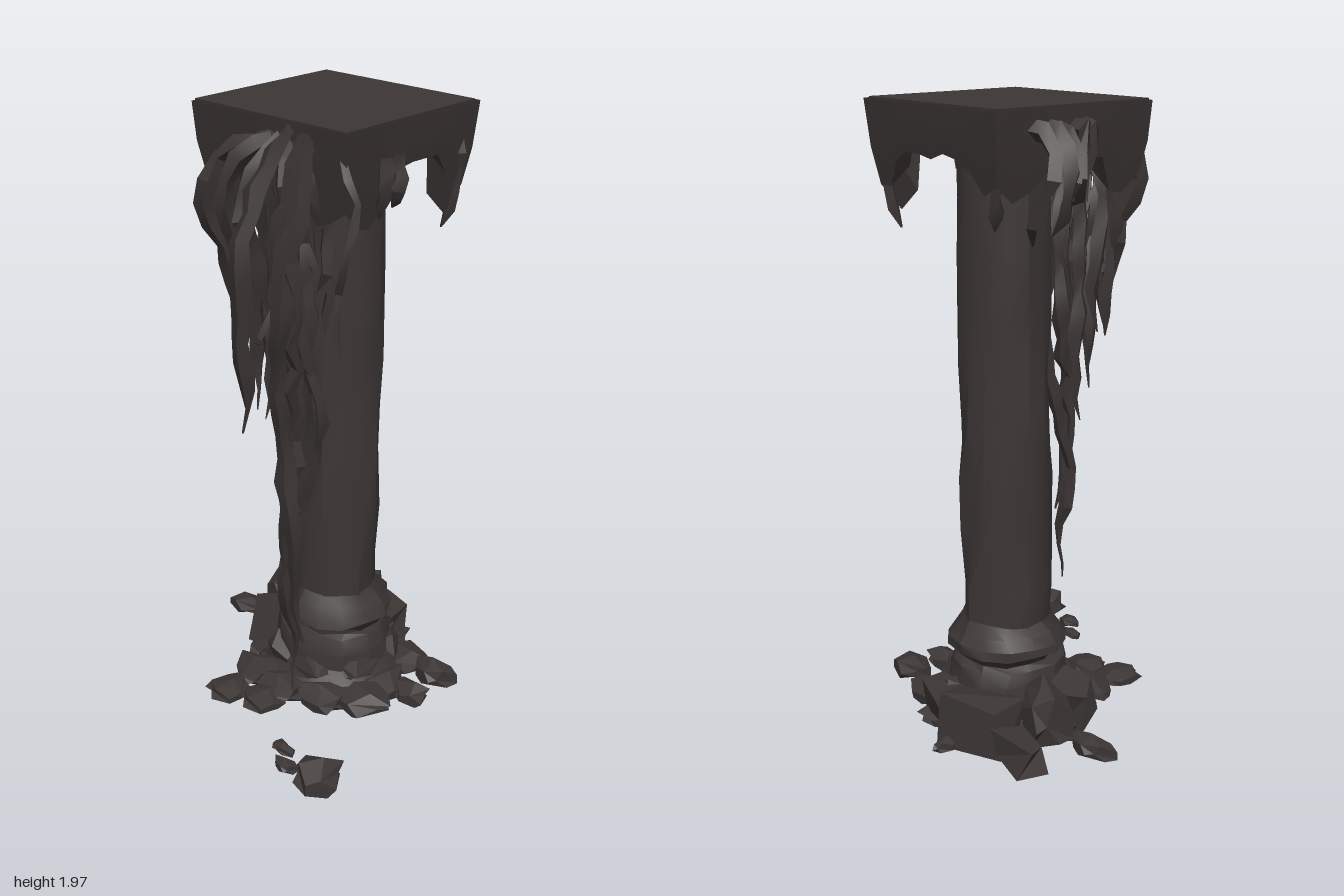
import * as THREE from 'three';
import { toCreasedNormals } from 'three/addons/utils/BufferGeometryUtils.js';

const stone = new THREE.MeshStandardMaterial({ color: 0x3c3635, side: THREE.DoubleSide });
stone.name = 'dark weathered stone';
const moss = new THREE.MeshStandardMaterial({ color: 0x393332, side: THREE.DoubleSide });
moss.name = 'dark hanging moss';

const CZ = -0.125; // column axis
const V = (x, y, z) => new THREE.Vector3(x, y, z);

// small seeded generator, returns -1..1
let seed = 7;
function rnd() {
  seed = (seed * 16807) % 2147483647;
  return (seed / 2147483647) * 2 - 1;
}

// displacement that depends only on position, so shared corners stay joined
function wobble(geo, amount) {
  const p = geo.attributes.position;
  const h = (x, y, z, k) => Math.sin(Math.round(x * 500) * 1.3 + Math.round(y * 500) * 2.1 + Math.round(z * 500) * 3.7 + k);
  for (let i = 0; i < p.count; i++) {
    const x = p.getX(i), y = p.getY(i), z = p.getZ(i);
    p.setXYZ(i, x + amount * h(x, y, z, 0), y + amount * h(x, y, z, 2), z + amount * h(x, y, z, 4));
  }
  return geo;
}

function add(parent, name, geo, mat, crease = 0.5) {
  const mesh = new THREE.Mesh(toCreasedNormals(geo, crease), mat);
  mesh.name = name;
  parent.add(mesh);
  return mesh;
}

// tapering, ragged strand along a path
function strand(parent, pts, width, ragged = 0.006) {
  const curve = new THREE.CatmullRomCurve3(pts);
  const n = Math.max(5, Math.round(curve.getLength() / 0.07));
  const geo = new THREE.TubeGeometry(curve, n, width, 4);
  const p = geo.attributes.position, uv = geo.attributes.uv, v = V(0, 0, 0);
  const rings = Array.from({ length: n + 1 }, () => ({ s: 0.9 + 0.35 * rnd(), d: V(rnd(), 0, rnd()).multiplyScalar(ragged) }));
  for (let i = 0; i < p.count; i++) {
    const t = uv.getX(i), c = curve.getPointAt(t), ring = rings[Math.round(t * n)];
    const s = ring.s * Math.min(1, (1 - t) * 4 + 0.1);
    v.fromBufferAttribute(p, i).sub(c).multiplyScalar(s).add(c).add(ring.d);
    p.setXYZ(i, v.x, v.y, v.z);
  }
  add(parent, 'strand', geo, moss);
}

function rock(parent, x, y, z, sx, sy, sz, turn = 0, tilt = 0) {
  const geo = wobble(new THREE.DodecahedronGeometry(1, 0), 0.2);
  geo.rotateY(rnd() * 3);
  geo.scale(sx, sy, sz);
  const m = add(parent, 'rock', geo, stone, 0.2);
  m.position.set(x, Math.max(y, 0.035 + sy * 0.95), z);
  m.rotation.set(tilt, turn, 0, 'YXZ');
}

// upright broken block
function block(parent, x, y, z, sx, sy, sz, turn, tilt) {
  const m = add(parent, 'brokenBlock', wobble(new THREE.BoxGeometry(sx, sy, sz), 0.015), stone, 0.2);
  m.position.set(x, y, z);
  m.rotation.set(tilt, turn, 0, 'YXZ');
}

export function createModel() {
  const model = new THREE.Group();
  const group = (name) => {
    const g = new THREE.Group();
    g.name = name;
    model.add(g);
    return g;
  };

  // shaft with worn, uneven sides
  const shaftGeo = new THREE.CylinderGeometry(0.135, 0.145, 1.56, 14, 9);
  shaftGeo.translate(0, 1.1, 0);
  add(model, 'shaft', wobble(shaftGeo, 0.007), stone, 0.6).position.z = CZ;

  // moulded foot
  const foot = [[0, 0.04], [0.25, 0.04], [0.24, 0.08], [0.2, 0.12], [0.195, 0.19], [0.18, 0.235], [0.16, 0.25],
    [0.17, 0.265], [0.19, 0.285], [0.185, 0.31], [0.163, 0.345], [0.145, 0.38]].map(([r, y]) => new THREE.Vector2(r, y));
  add(model, 'foot', wobble(new THREE.LatheGeometry(foot, 14), 0.007), stone).position.z = CZ;

  // capital: square slab with a slightly narrower underside
  const slabGeo = new THREE.BoxGeometry(0.59, 0.13, 0.56);
  const sp = slabGeo.attributes.position;
  for (let i = 0; i < sp.count; i++) {
    if (sp.getY(i) < 0) sp.setXYZ(i, sp.getX(i) * 0.95, sp.getY(i), sp.getZ(i) * 0.95);
  }
  add(model, 'capitalSlab', wobble(slabGeo, 0.004), stone).position.set(0, 1.93, -0.115);
  const neck = add(model, 'capitalNeck', wobble(new THREE.CylinderGeometry(0.15, 0.135, 0.09, 12), 0.005), stone);
  neck.position.set(0, 1.84, CZ);

  // ragged skirt hanging from the slab: lower edge heights, corner to corner
  const skirt = group('mossSkirt');
  const sides = [
    { a: V(-0.3, 0, 0.175), b: V(0.3, 0, 0.175), low: [1.79, 1.74, 1.72, 1.74, 1.8, 1.84, 1.82, 1.78, 1.7, 1.72, 1.76] },
    { a: V(0.3, 0, 0.175), b: V(0.3, 0, -0.4), low: [1.76, 1.7, 1.69, 1.74, 1.85, 1.86, 1.86, 1.86, 1.8, 1.66, 1.74] },
    { a: V(0.3, 0, -0.4), b: V(-0.3, 0, -0.4), low: [1.74, 1.74, 1.82, 1.85, 1.85, 1.84, 1.86, 1.85, 1.82, 1.76, 1.79] },
    { a: V(-0.3, 0, -0.4), b: V(-0.3, 0, 0.175), low: [1.79, 1.74, 1.76, 1.8, 1.85, 1.86, 1.85, 1.84, 1.74, 1.73, 1.79] },
  ];
  for (const { a, b, low } of sides) {
    const pos = [], idx = [];
    low.forEach((y, i) => {
      const p = a.clone().lerp(b, i / (low.length - 1));
      const mid = (1.96 + y) / 2;
      // outer face at three heights, then a lip turning in under the skirt
      for (const [h, inset] of [[1.99, 1], [mid, 1], [y, 1], [y + 0.06, 0.8]]) {
        const k = (1.01 - Math.max(0, 1.92 - h) * 0.6) * inset;
        pos.push(p.x * k, h, CZ + (p.z - CZ) * k);
      }
      if (i) for (let r = 0; r < 3; r++) {
        const q = (i - 1) * 4 + r;
        idx.push(q, q + 1, q + 4, q + 1, q + 5, q + 4);
      }
    });
    const geo = new THREE.BufferGeometry();
    geo.setAttribute('position', new THREE.Float32BufferAttribute(pos, 3));
    geo.setIndex(idx);
    add(skirt, 'skirtSide', geo, moss);
  }

  // long vines arching off the front left corner
  const vines = group('longVines');
  const paths = [
    [V(0.12, 1.96, 0.15), V(0.24, 1.92, 0.28), V(0.3, 1.78, 0.38), V(0.31, 1.55, 0.44), V(0.28, 1.25, 0.41),
      V(0.3, 1.05, 0.41), V(0.34, 0.87, 0.42), V(0.3, 0.66, 0.39), V(0.33, 0.5, 0.37)],
    [V(0.1, 1.95, 0.15), V(0.2, 1.9, 0.26), V(0.23, 1.7, 0.35), V(0.25, 1.45, 0.31), V(0.28, 1.2, 0.27),
      V(0.25, 0.92, 0.3), V(0.23, 0.68, 0.36), V(0.24, 0.48, 0.31), V(0.24, 0.27, 0.35)],
    [V(0.08, 1.97, 0.15), V(0.13, 1.94, 0.28), V(0.17, 1.84, 0.39), V(0.2, 1.72, 0.47), V(0.21, 1.5, 0.48), V(0.18, 1.18, 0.46)],
    [V(0.14, 1.93, 0.17), V(0.22, 1.85, 0.3), V(0.27, 1.55, 0.36), V(0.25, 1.3, 0.34), V(0.27, 1.0, 0.38), V(0.25, 0.66, 0.38)],
    [V(0.1, 1.9, 0.17), V(0.19, 1.75, 0.28), V(0.18, 1.55, 0.31), V(0.2, 1.45, 0.42), V(0.27, 1.48, 0.48)],
    [V(0.26, 1.92, 0.16), V(0.33, 1.8, 0.18), V(0.32, 1.65, 0.2), V(0.28, 1.5, 0.19), V(0.3, 1.35, 0.19)],
  ];
  paths.forEach((p, i) => {
    strand(vines, p, i < 4 ? 0.029 : 0.02, 0.012);
    if (i < 2) strand(vines, p.slice(0, 6).map((q) => V(q.x + 0.025 * rnd(), q.y, q.z + 0.03 * rnd())), 0.02, 0.012);
  });

  // curtain in front of the shaft, gathered at the top
  const curtain = group('frontCurtain');
  const ends = [1.3, 1.5, 1.4, 1.0, 1.24, 1.08, 1.45, 1.12, 1.25, 1.35, 1.2, 1.45, 1.35, 1.5];
  ends.forEach((y, i) => {
    const x = -0.18 + i * 0.027, z = [0.08, 0.12, 0.17][i % 3];
    const m = (1.85 + y) / 2;
    strand(curtain, [V(0.04 + x * 0.4, 1.94, 0.16), V(0.02 + x * 0.75, 1.85, z + 0.05), V(x, m, z + 0.02 * rnd()),
      V(x + 0.02 * rnd(), (m + y) / 2, z - 0.01), V(x + 0.02 * rnd(), y, z + 0.01)], 0.025, 0.01);
  });
  for (const [x, y] of [[-0.11, 1.35], [-0.04, 1.5], [0.03, 1.4]]) {
    strand(curtain, [V(0.04, 1.94, 0.16), V(x, 1.88, 0.25), V(x - 0.02, 1.74, 0.29), V(x, 1.58, 0.23), V(x, y, 0.2)], 0.028, 0.01);
  }

  // tufts on the remaining sides
  const tufts = group('sideTufts');
  for (let i = 0; i < 5; i++) {
    const z = -0.27 + i * 0.045, out = 0.4 - 0.03 * Math.abs(i - 1);
    strand(tufts, [V(-0.26, 1.94, z), V(-0.34, 1.92, z + 0.02), V(-out, 1.8, z), V(0.03 - out, 1.72, z + 0.02 * rnd()),
      V(0.07 - out, 1.62 + 0.03 * i, z)], 0.026, 0.012);
  }
  for (const [x, z, y] of [[0.3, -0.04, 1.74], [0.3, 0.02, 1.72], [0.26, -0.35, 1.61], [-0.22, 0.13, 1.55], [-0.19, 0.13, 1.28],
    [-0.24, -0.35, 1.66]]) {
    strand(tufts, [V(x, 1.9, z), V(x * 1.03, 1.83, z), V(x, (1.83 + y) / 2, z), V(x * 0.92, y, z * 0.95)], 0.028);
  }

  // rubble: placed pieces, then a seeded ring around the foot
  const rubble = group('rubble');
  const pieces = [
    [0.42, 0.09, 0.41, 0.08, 0.055, 0.075, 0.3], [0.29, 0.05, 0.42, 0.045, 0.02, 0.03], [0.22, 0.05, 0.36, 0.05, 0.016, 0.025],
    [-0.42, 0.07, -0.14, 0.085, 0.035, 0.045, 0.2], [-0.29, 0.13, -0.22, 0.09, 0.12, 0.08],
    [0.34, 0.08, -0.25, 0.08, 0.045, 0.055, 0.2], [0.34, 0.07, -0.13, 0.075, 0.035, 0.05, -0.2],
    [-0.1, 0.06, -0.46, 0.025, 0.025, 0.05], [-0.13, 0.06, 0.26, 0.075, 0.022, 0.08], [-0.01, 0.06, 0.22, 0.08, 0.022, 0.08],
  ];
  pieces.forEach((p) => rock(rubble, ...p));
  block(rubble, -0.15, 0.125, -0.36, 0.2, 0.16, 0.12, 0.3, 0.1);
  block(rubble, -0.34, 0.1, -0.36, 0.16, 0.09, 0.08, -0.1, 0.15);
  block(rubble, -0.24, 0.12, -0.06, 0.12, 0.15, 0.13, 0.5, -0.2);
  block(rubble, 0.03, 0.11, -0.35, 0.15, 0.13, 0.1, -0.2, -0.15);
  for (let i = 0; i < 11; i++) {
    const a = i * 0.571 + 0.1 * rnd(), r = 0.25 + 0.03 * rnd();
    rock(rubble, r * Math.sin(a), 0.065, CZ + 0.03 + r * Math.cos(a), 0.095, 0.032, 0.085, a, 0.15);
  }
  for (let i = 0; i < 7; i++) {
    const a = i * 0.9 + 0.3;
    rock(rubble, 0.18 * Math.sin(a), 0.11, CZ + 0.18 * Math.cos(a), 0.09, 0.06 + 0.02 * rnd(), 0.055, a, 0.35);
  }
  return model;
}
